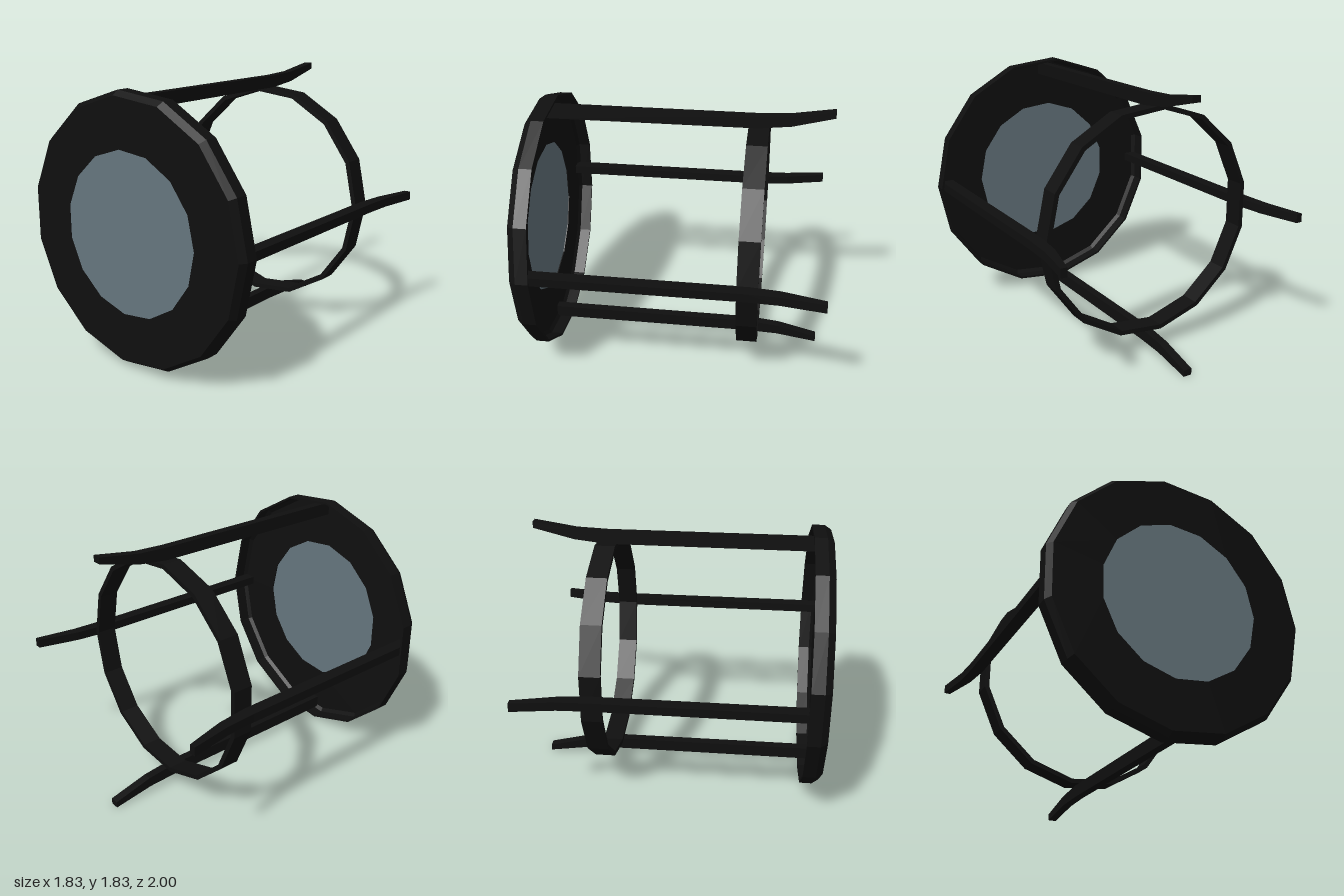
import * as THREE from 'three';

const SIDES = 15;
const CENTRE_Y = 0.917;

// Faceted ring about the z axis from a closed [radius, z] profile
function ring(profile, material, name) {
  const points = profile.map(([r, z]) => new THREE.Vector2(r, z));
  const geometry = new THREE.LatheGeometry(points, SIDES, Math.PI / 2);
  geometry.rotateX(Math.PI / 2);
  const mesh = new THREE.Mesh(geometry, material);
  mesh.name = name;
  return mesh;
}

export function createModel() {
  const black = new THREE.MeshStandardMaterial({ color: 0x0f0f0f, flatShading: true });
  black.name = 'black frame';
  const glass = new THREE.MeshStandardMaterial({ color: 0x66767e, flatShading: true });
  glass.name = 'grey glass';

  const model = new THREE.Group();
  model.name = 'ringFrame';
  const body = new THREE.Group();
  body.name = 'body';
  body.position.y = CENTRE_Y;
  model.add(body);

  // Shallow front dish, open at the back, with a bevelled front edge
  body.add(ring([
    [0.885, 0.87], [0.9, 0.87], [0.9, 0.955], [0.87, 1], [0.54, 1],
    [0.54, 0.97], [0.86, 0.97], [0.885, 0.95], [0.885, 0.87],
  ], black, 'frontRim'));

  // Glass disc filling the front opening
  const disc = new THREE.CylinderGeometry(0.54, 0.54, 0.022, SIDES, 1, false, Math.PI / 2);
  disc.rotateX(Math.PI / 2);
  const lens = new THREE.Mesh(disc, glass);
  lens.name = 'lens';
  lens.position.z = 0.988;
  body.add(lens);

  // Thin band joining the rods near the back
  body.add(ring([
    [0.755, -0.575], [0.787, -0.575], [0.787, -0.437], [0.755, -0.437], [0.755, -0.575],
  ], black, 'rearBand'));

  // Four rods with flared rear ends; the profile is drawn as (z, radius)
  const side = [
    [0.97, 0.775], [0.97, 0.863], [-0.5, 0.863], [-0.71, 0.872],
    [-1, 0.917], [-1, 0.873], [-0.72, 0.802], [-0.5, 0.778],
  ];
  const shape = new THREE.Shape(side.map(([z, r]) => new THREE.Vector2(z, r)));
  const rodGeometry = new THREE.ExtrudeGeometry(shape, { depth: 0.06, bevelEnabled: false });
  rodGeometry.translate(0, 0, -0.03);
  rodGeometry.rotateY(-Math.PI / 2);
  ['topRod', 'rightRod', 'bottomRod', 'leftRod'].forEach((name, i) => {
    const rod = new THREE.Mesh(rodGeometry, black);
    rod.name = name;
    rod.rotation.z = i * Math.PI / 2;
    body.add(rod);
  });

  return model;
}
